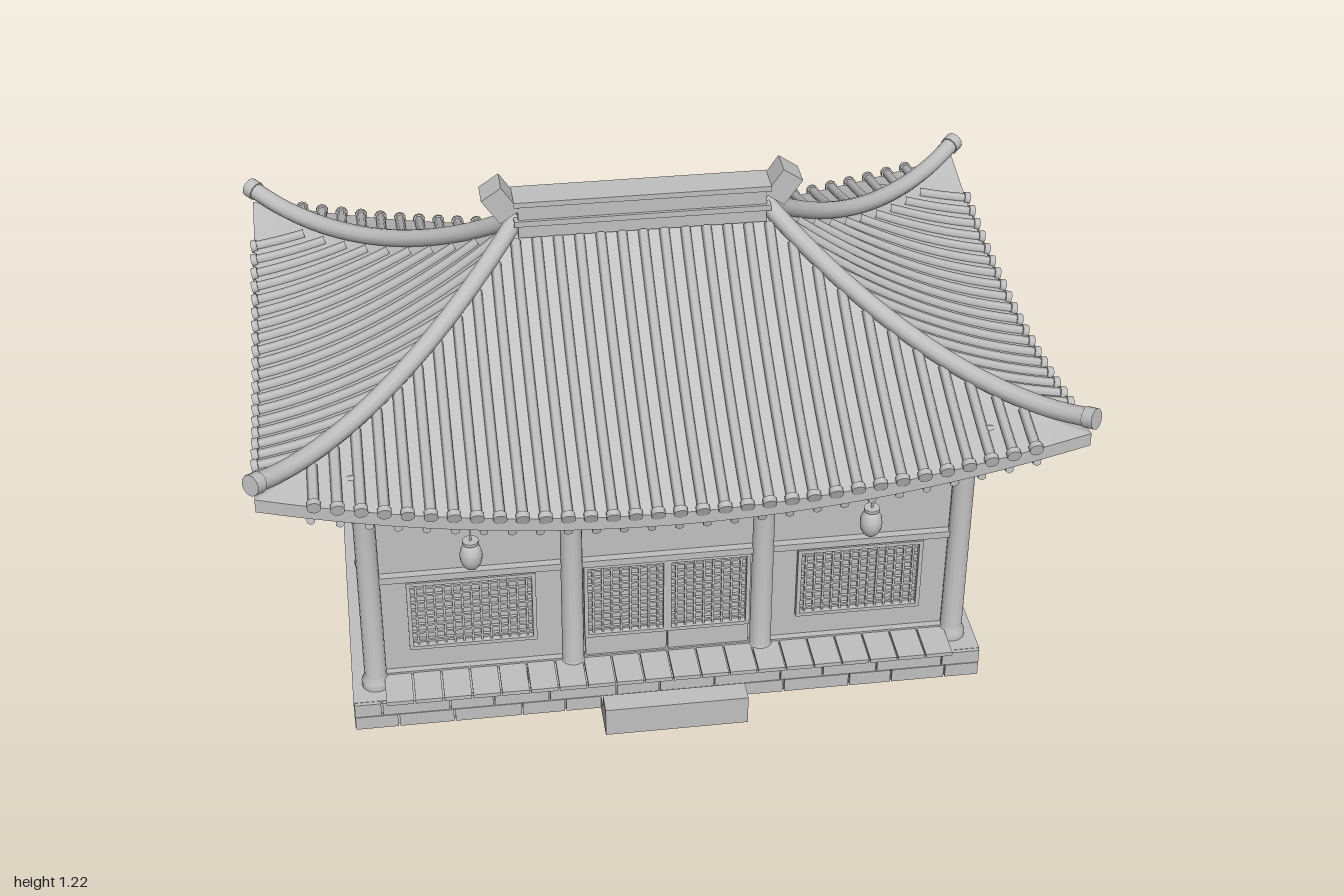
import * as THREE from 'three';
import { toCreasedNormals } from 'three/addons/utils/BufferGeometryUtils.js';

const stone = new THREE.MeshStandardMaterial({ color: 0xc0c0c0 });
stone.name = 'plainGrey';
const V = (x, y, z) => new THREE.Vector3(x, y, z);

function add(parent, name, geometry, x = 0, y = 0, z = 0) {
  const mesh = new THREE.Mesh(geometry, stone);
  mesh.name = name;
  mesh.position.set(x, y, z);
  parent.add(mesh);
  return mesh;
}
// Box given by its limits
function block(parent, name, x0, x1, y0, y1, z0, z1) {
  return add(parent, name, new THREE.BoxGeometry(x1 - x0, y1 - y0, z1 - z0), (x0 + x1) / 2, (y0 + y1) / 2, (z0 + z1) / 2);
}
// Round bar between two points
function rod(parent, name, a, b, r, sides = 8) {
  const m = add(parent, name, new THREE.CylinderGeometry(r, r, a.distanceTo(b), sides));
  m.position.copy(a).add(b).multiplyScalar(0.5);
  m.quaternion.setFromUnitVectors(V(0, 1, 0), b.clone().sub(a).normalize());
  return m;
}
function group(parent, name) {
  const g = new THREE.Group();
  g.name = name;
  parent.add(g);
  return g;
}

// Roof shape: t runs from ridge (0) to eave (1), s across the slope (-1..1)
const RX = 0.31, EX = 0.67, EZ = 0.69, THICK = 0.035;
const hipY = t => 1.1 - 0.645 * t + 0.37 * t * t;
const frontMid = t => 1.1 - 0.55 * t + 0.14 * t * t;
const sideMid = t => 1.1 - 0.58 * t + 0.22 * t * t;
const blend = (mid, s, t) => mid(t) + (hipY(t) - mid(t)) * s * s;
const frontPoint = (s, t) => V(s * (RX + EX * t), blend(frontMid, s, t), EZ * t);
const sidePoint = (s, t) => V(RX + EX * t, blend(sideMid, s, t), -EZ * t * s);

// One closed roof slope: top surface, eave edge and underside in one loop
function slopeGeometry(point) {
  const rows = 20, cols = 32, pos = [], idx = [], n = 2 * rows + 2;
  for (let i = 0; i < n; i++) {
    const under = i > rows, t = (under ? n - 1 - i : i) / rows;
    for (let j = 0; j <= cols; j++) {
      const p = point((j / cols) * 2 - 1, t);
      pos.push(p.x, p.y - (under ? THICK : 0), p.z);
    }
  }
  for (let i = 0; i < n - 1; i++) for (let j = 0; j < cols; j++) {
    const a = i * (cols + 1) + j, b = a + cols + 1;
    idx.push(a, b, a + 1, b, b + 1, a + 1);
  }
  const g = new THREE.BufferGeometry();
  g.setAttribute('position', new THREE.Float32BufferAttribute(pos, 3));
  g.setIndex(idx);
  return toCreasedNormals(g, 0.6);
}

// Round tile row from t0 down to the eave, with its end disc
function tileRow(parent, at, t0) {
  const pts = [];
  for (let i = 0; i <= 8; i++) pts.push(at(t0 + (1 - t0) * i / 8));
  const curve = new THREE.CatmullRomCurve3(pts);
  add(parent, 'tileRow', new THREE.TubeGeometry(curve, 12, 0.013, 6));
  const end = pts[8], dir = curve.getTangent(1);
  rod(parent, 'tileEnd', end.clone().addScaledVector(dir, -0.008), end.clone().addScaledVector(dir, 0.008), 0.017, 10);
}

function buildRoof(model) {
  const roof = group(model, 'roof');
  for (const turn of [0, Math.PI]) {
    const half = group(roof, 'roofHalf');
    half.rotation.y = turn;
    add(half, 'longSlope', slopeGeometry(frontPoint));
    add(half, 'endSlope', slopeGeometry(sidePoint));
    for (let i = -16; i <= 16; i++) {
      const x = i * 0.053, t0 = Math.max(0.05, (Math.abs(x) - RX) / EX + 0.02);
      tileRow(half, t => { const p = frontPoint(x / (RX + EX * t), t); p.y += 0.004; return p; }, t0);
    }
    for (let i = -9; i <= 9; i++) {
      const z = i * 0.0565, t0 = Math.abs(z) / EZ + 0.06;
      tileRow(half, t => { const p = sidePoint(-z / (EZ * t), t); p.y += 0.004; return p; }, t0);
    }
    // Hip ridges with upturned, capped tips
    for (const s of [1, -1]) {
      const pts = [];
      for (let i = 0; i <= 10; i++) {
        const t = i / 10;
        pts.push(V(RX + EX * t, hipY(t) + 0.018 + 0.025 * t ** 6, s * EZ * t));
      }
      const curve = new THREE.CatmullRomCurve3(pts);
      add(half, 'hipRidge', new THREE.TubeGeometry(curve, 30, 0.023, 10));
      const dir = curve.getTangent(1);
      rod(half, 'hipEnd', pts[10].clone().addScaledVector(dir, -0.02), pts[10].clone().addScaledVector(dir, 0.008), 0.026, 12);
    }
    // Rafters under the eaves
    for (let i = -13; i <= 13; i++) {
      const x = i * 0.066, y = frontPoint(x / (RX + EX), 1).y - THICK - 0.012;
      rod(half, 'rafter', V(x, 0.7, 0.46), V(x, y, 0.68), 0.011, 6);
    }
    for (let i = -9; i <= 9; i++) {
      const z = i * 0.066, y = sidePoint(z / EZ, 1).y - THICK - 0.006;
      rod(half, 'endRafter', V(0.74, y + 0.03, z), V(0.97, y, z), 0.011, 6);
    }
    // Tilted block at the end of the main ridge
    const ornament = add(half, 'ridgeEnd', new THREE.BoxGeometry(0.06, 0.08, 0.075), 0.352, 1.174, 0);
    ornament.rotation.z = -0.6;
  }
  block(roof, 'mainRidge', -0.31, 0.31, 1.08, 1.17, -0.037, 0.037);
  block(roof, 'ridgeFoot', -0.32, 0.32, 1.115, 1.13, -0.045, 0.045);
  block(roof, 'ridgeCap', -0.32, 0.32, 1.168, 1.182, -0.043, 0.043);
}

// Framed grid in the xy plane, facing +z
function lattice(parent, name, x0, x1, y0, y1, nx, ny, z) {
  const g = group(parent, name), f = 0.01, b = 0.0025;
  for (const x of [x0, x1 - f]) block(g, 'frameUpright', x, x + f, y0, y1, z, z + 0.016);
  for (const y of [y0, y1 - f]) block(g, 'frameRail', x0 + f, x1 - f, y, y + f, z, z + 0.016);
  for (let i = 1; i < nx; i++) {
    const x = x0 + (x1 - x0) * i / nx;
    block(g, 'latticeUpright', x - b, x + b, y0, y1, z, z + 0.009);
  }
  for (let i = 1; i < ny; i++) {
    const y = y0 + (y1 - y0) * i / ny;
    block(g, 'latticeRail', x0, x1, y - b, y + b, z, z + 0.008);
  }
}

// Wall with beams, facing +z at the given distance
function wall(parent, name, half, dist) {
  const g = group(parent, name);
  block(g, 'wallPanel', -half, half, 0.1, 0.585, dist - 0.025, dist - 0.012);
  block(g, 'middleBeam', -half, half, 0.397, 0.416, dist - 0.015, dist + 0.008);
  block(g, 'topBeam', -half, half, 0.607, 0.652, dist - 0.02, dist + 0.015);
  return g;
}

function buildHall(model) {
  const hall = group(model, 'hall');
  const front = wall(hall, 'frontWall', 0.74, 0.49);
  wall(hall, 'backWall', 0.74, 0.49).rotation.y = Math.PI;
  for (const s of [1, -1]) {
    const side = wall(hall, 'sideWall', 0.49, 0.74);
    side.rotation.y = s * Math.PI / 2;
    for (const e of [1, -1]) lattice(side, 'sideWindow', e > 0 ? 0.02 : -0.11, e > 0 ? 0.11 : -0.02, 0.21, 0.395, 4, 8, 0.728);
    const c = 0.49 * s;
    lattice(front, 'frontWindow', c - 0.16, c + 0.16, 0.18, 0.39, 14, 9, 0.478);
    const d = 0.105 * s;
    lattice(front, 'doorLattice', d - 0.105, d + 0.105, 0.17, 0.397, 9, 10, 0.478);
    block(front, 'doorPanel', d - 0.103, d + 0.103, 0.1, 0.168, 0.478, 0.49);
    // Round purlins over the columns
    rod(hall, 'purlin', V(-0.81, 0.67, 0.485 * s), V(0.81, 0.67, 0.485 * s), 0.026, 14);
  }
  block(front, 'sill', -0.72, 0.72, 0.1, 0.112, 0.47, 0.495);
  // Columns with flared feet and bracket heads
  const profile = [[0, 0.08], [0.036, 0.08], [0.036, 0.095], [0.028, 0.112], [0.027, 0.62], [0, 0.62]].map(p => new THREE.Vector2(...p));
  const shaft = toCreasedNormals(new THREE.LatheGeometry(profile, 16), 0.5);
  const spots = [[0.74, 0], [-0.74, 0]];
  for (const x of [-0.74, -0.24, 0.24, 0.74]) spots.push([x, 0.49], [x, -0.49]);
  for (const [x, z] of spots) {
    add(hall, 'column', shaft, x, 0, z);
    if (z === 0) { block(hall, 'columnHead', x - 0.02, x + 0.02, 0.6, 0.655, -0.018, 0.018); continue; }
    block(hall, 'bracketLower', x - 0.03, x + 0.03, 0.61, 0.632, z - 0.033, z + 0.033);
    block(hall, 'bracketUpper', x - 0.046, x + 0.046, 0.632, 0.655, z - 0.042, z + 0.042);
    block(hall, 'bracketBlock', x - 0.032, x + 0.032, 0.655, 0.692, z - 0.03, z + 0.03);
  }
}

function buildBase(model) {
  const base = group(model, 'base');
  block(base, 'platform', -0.8, 0.8, 0, 0.08, -0.56, 0.56);
  // Staggered facing stones on the front
  for (let row = 0; row < 2; row++) {
    let x = -0.8;
    for (let i = 0; x < 0.799; i++) {
      const end = Math.min(0.8, x + (i === 0 && row ? 0.07 : 0.11 + 0.03 * ((i + row) % 3)));
      block(base, 'facingStone', x + 0.002, end - 0.002, row * 0.04 + 0.001, row * 0.04 + 0.039, 0.555, 0.57);
      x = end;
    }
  }
  for (let i = 0; i < 20; i++) {
    const x = -0.72 + i * 0.072;
    block(base, 'porchPlank', x + 0.002, x + 0.07, 0.096, 0.107, 0.49, 0.6);
  }
  for (const x of [-0.7, -0.35, 0, 0.35, 0.7]) block(base, 'porchSupport', x - 0.01, x + 0.01, 0.08, 0.097, 0.5, 0.54);
  block(base, 'doorStep', -0.18, 0.18, 0, 0.08, 0.615, 0.672);
  block(base, 'lowerStep', -0.18, 0.18, 0, 0.04, 0.56, 0.62);
}

function buildLanterns(model) {
  for (const x of [-0.49, 0.49]) {
    const g = group(model, 'lantern');
    g.position.set(x, 0, 0.573);
    add(g, 'lanternBody', new THREE.SphereGeometry(0.028, 16, 12), 0, 0.525, 0).scale.y = 1.45;
    rod(g, 'lanternCap', V(0, 0.562, 0), V(0, 0.57, 0), 0.02, 12);
    rod(g, 'lanternCord', V(0, 0.565, 0), V(0, 0.7, 0), 0.003, 6);
  }
}

export function createModel() {
  const model = new THREE.Group();
  model.name = 'tiledHall';
  buildBase(model);
  buildHall(model);
  buildRoof(model);
  buildLanterns(model);
  return model;
}
